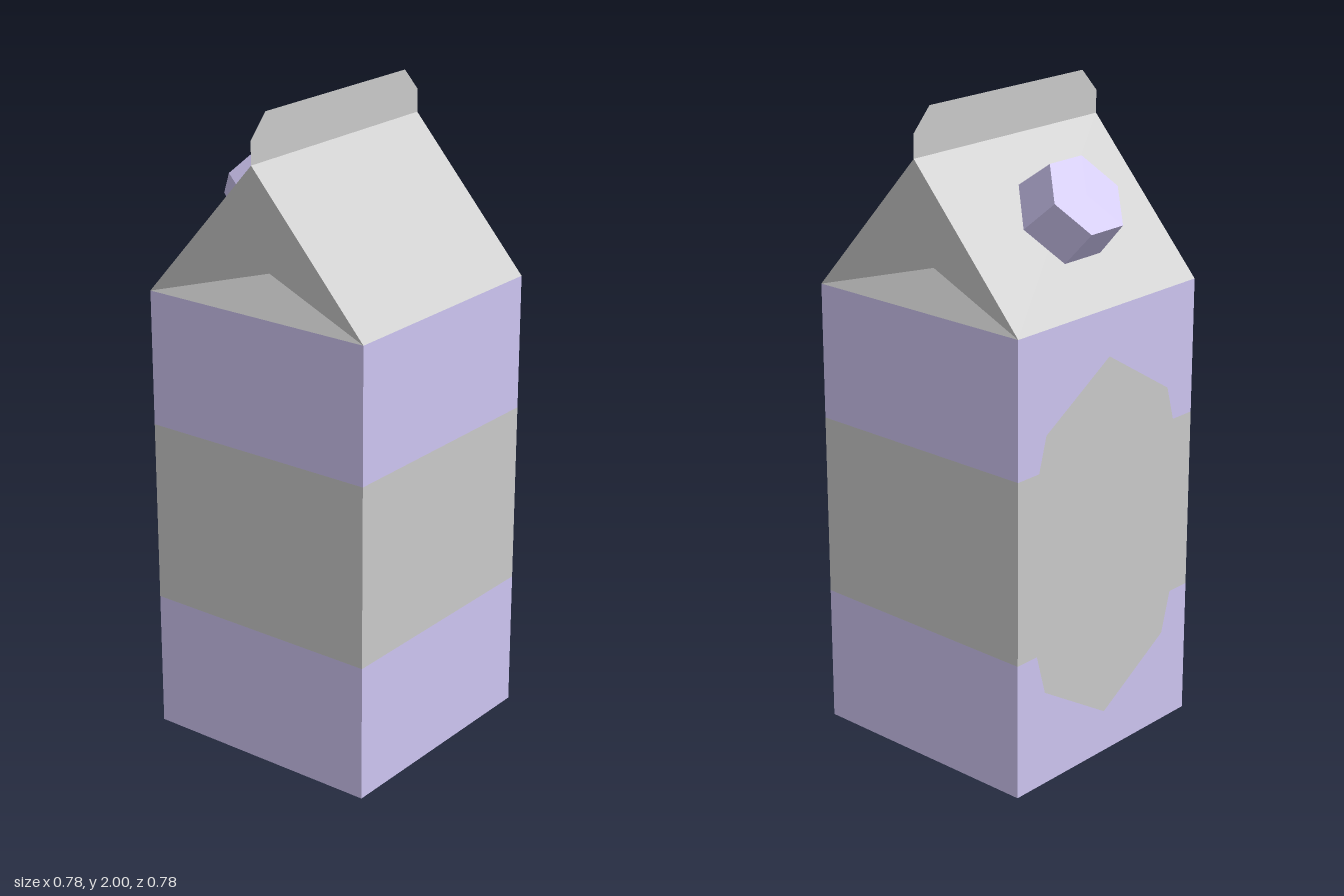
import * as THREE from 'three';

const H = 0.39;        // half width of the carton
const EAVE = 1.42;     // top of the walls
const RIDGE = 1.86;    // top of the gable

const material = (color) =>
  new THREE.MeshStandardMaterial({ color, flatShading: true, side: THREE.DoubleSide });

// Flat-shaded mesh from a list of triangles or quads, each a list of corners
function facets(faces, mat) {
  const pos = [];
  for (const f of faces) {
    for (let i = 1; i < f.length - 1; i++) pos.push(...f[0], ...f[i], ...f[i + 1]);
  }
  const geo = new THREE.BufferGeometry();
  geo.setAttribute('position', new THREE.Float32BufferAttribute(pos, 3));
  geo.computeVertexNormals();
  return new THREE.Mesh(geo, mat);
}

export function createModel() {
  const carton = new THREE.Group();
  carton.name = 'carton';
  const grey = material(0xcccccc);
  const lilac = material(0xcfc6f3);
  const add = (name, mesh) => {
    mesh.name = name;
    carton.add(mesh);
    return mesh;
  };

  // Walls: three coloured bands of an open square tube
  const bands = [
    ['lowerBand', 0, 0.43, lilac],
    ['middleBand', 0.43, 1.0, grey],
    ['upperBand', 1.0, EAVE, lilac],
  ];
  for (const [name, y0, y1, mat] of bands) {
    const geo = new THREE.CylinderGeometry(H * Math.SQRT2, H * Math.SQRT2, y1 - y0, 4, 1, true);
    geo.rotateY(Math.PI / 4);
    add(name, new THREE.Mesh(geo, mat)).position.y = (y0 + y1) / 2;
  }

  // Underside
  add('base', new THREE.Mesh(new THREE.PlaneGeometry(2 * H, 2 * H).rotateX(Math.PI / 2), lilac));

  // Stretched octagonal panel on the side under the cap
  const panel = add('sidePanel', new THREE.Mesh(new THREE.CircleGeometry(1, 8), grey));
  panel.scale.set(0.385, 0.57, 1);
  panel.rotation.y = -Math.PI / 2;
  panel.position.set(-H - 0.001, 0.705, 0);

  // Sloping roof panels
  add('roof', facets([1, -1].map((s) => [
    [s * H, EAVE, s * H], [s * H, EAVE, -s * H], [0, RIDGE, -s * H], [0, RIDGE, s * H],
  ]), grey));

  // Gable ends folded inwards to a point
  for (const s of [1, -1]) {
    const a = [-s * H, EAVE, s * H];
    const b = [s * H, EAVE, s * H];
    const top = [0, RIDGE, s * H];
    const fold = [0, 1.53, s * 0.316];
    add(s > 0 ? 'frontGable' : 'backGable',
      facets([[a, b, fold], [a, fold, top], [fold, b, top]], grey));
  }

  // Thin sealed fin along the ridge, with clipped corners
  add('topFin', facets([[
    [0, RIDGE, H], [0, RIDGE, -H], [0, 1.93, -H],
    [0, 2, -0.325], [0, 2, 0.325], [0, 1.93, H],
  ]], grey));

  // Six-sided tapered cap, square to the roof slope
  const cap = add('cap', new THREE.Mesh(new THREE.CylinderGeometry(0.137, 0.154, 0.134, 6), lilac));
  cap.rotation.z = Math.atan2(RIDGE - EAVE, H);
  cap.position.set(-0.247, 1.69, 0);

  return carton;
}
